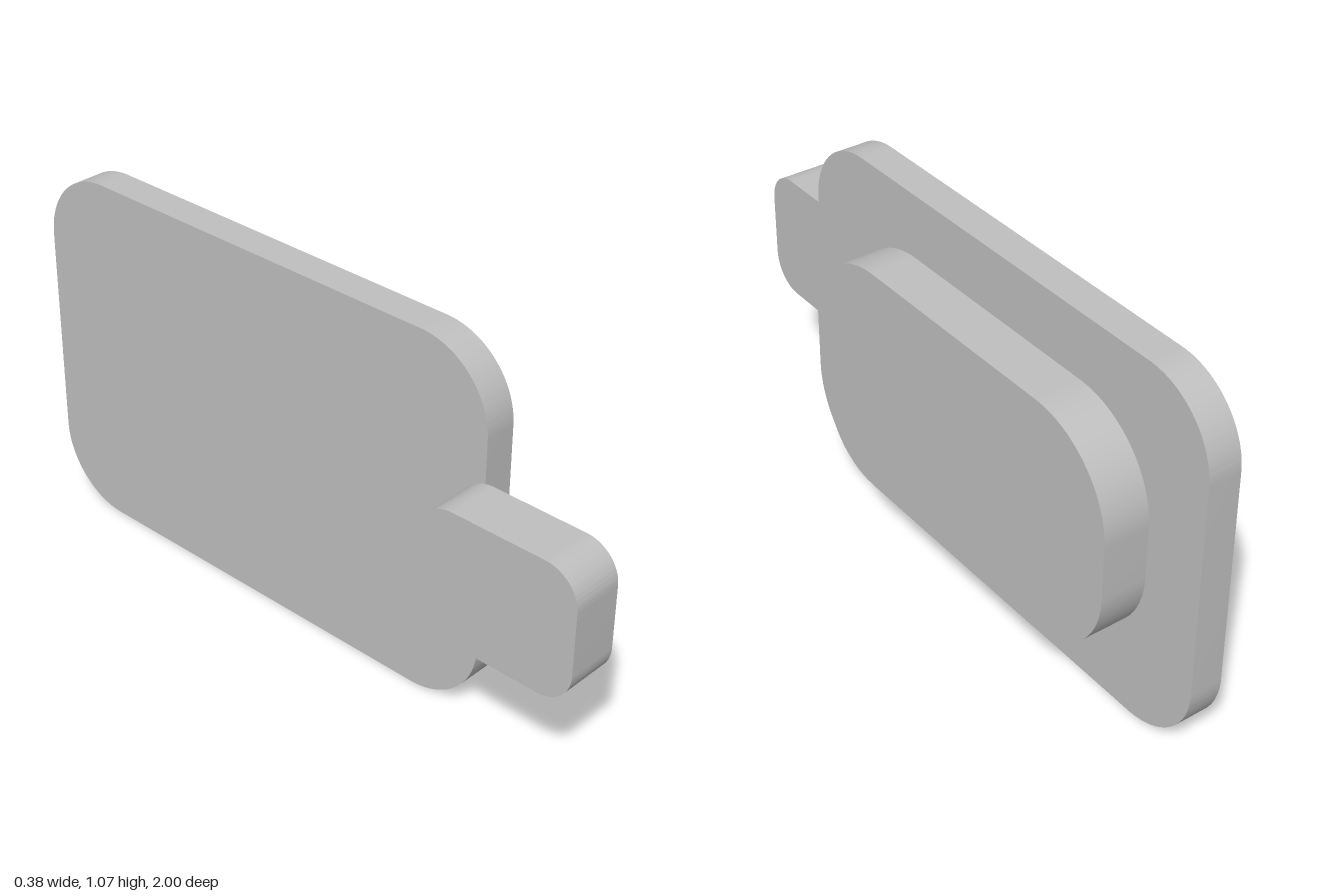
import * as THREE from 'three';
import { toCreasedNormals } from 'three/addons/utils/BufferGeometryUtils.js';

// Rounded rectangle in the z-y plane, given thickness along x
function roundedSlab(name, material, [x0, x1], [y0, y1], [z0, z1], r) {
  const a = -z1, b = -z0; // shape x runs along -z
  const s = new THREE.Shape();
  s.moveTo(a + r, y0);
  s.lineTo(b - r, y0);
  s.absarc(b - r, y0 + r, r, -Math.PI / 2, 0);
  s.lineTo(b, y1 - r);
  s.absarc(b - r, y1 - r, r, 0, Math.PI / 2);
  s.lineTo(a + r, y1);
  s.absarc(a + r, y1 - r, r, Math.PI / 2, Math.PI);
  s.lineTo(a, y0 + r);
  s.absarc(a + r, y0 + r, r, Math.PI, Math.PI * 1.5);
  const geo = new THREE.ExtrudeGeometry(s, { depth: x1 - x0, bevelEnabled: false, curveSegments: 20 });
  geo.rotateY(Math.PI / 2);
  geo.translate(x0, 0, 0);
  const mesh = new THREE.Mesh(toCreasedNormals(geo, 0.5), material);
  mesh.name = name;
  return mesh;
}

export function createModel() {
  const group = new THREE.Group();
  group.name = 'model';
  const grey = new THREE.MeshStandardMaterial({ color: 0xbfbfbf });
  grey.name = 'light grey';

  group.add(
    // large plate
    roundedSlab('mainPlate', grey, [-0.04, 0.056], [0, 1.067], [-1, 0.595], 0.22),
    // raised pad on the left face
    roundedSlab('raisedPad', grey, [0.056, 0.19], [0.19, 0.882], [-0.813, 0.405], 0.27),
    // small tab overlapping the front edge on the right face
    roundedSlab('frontTab', grey, [-0.193, -0.04], [0.344, 0.727], [0.52, 1], 0.1),
  );
  return group;
}
